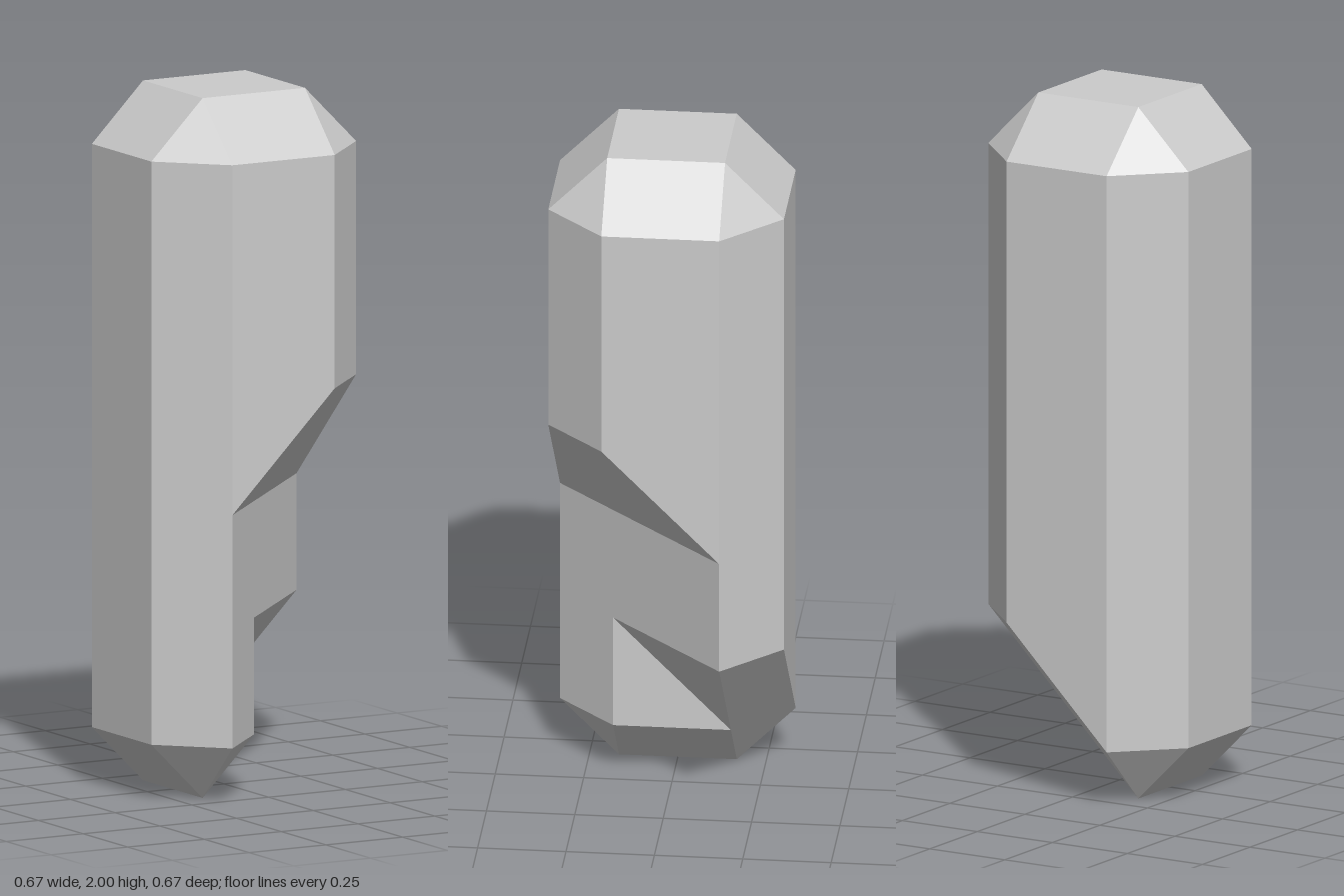
import * as THREE from 'three';

const UNIT = 1 / 6; // every corner lies on a grid of this size

// Builds one faceted mesh from convex polygons (counter-clockwise from outside)
function facetedMesh(name, faces) {
  const pos = [];
  for (const face of faces) {
    // merge corners that coincide, so tapered quads become triangles
    const p = face.filter((v, i) => String(v) !== String(face[(i + 1) % face.length]));
    for (let i = 1; i < p.length - 1; i++) pos.push(...p[0], ...p[i], ...p[i + 1]);
  }
  const geo = new THREE.BufferGeometry();
  geo.setAttribute('position', new THREE.Float32BufferAttribute(pos, 3));
  geo.scale(UNIT, UNIT, UNIT);
  geo.computeVertexNormals();
  const mesh = new THREE.Mesh(geo, new THREE.MeshStandardMaterial({ color: 0xcccccc, flatShading: true }));
  mesh.name = name;
  return mesh;
}

export function createModel() {
  const group = new THREE.Group();
  group.name = 'facetedPillar';

  // Octagonal outline [x, z], starting at the left end of the front face
  const ring = [[-1, 2], [1, 2], [2, 1], [2, -1], [1, -2], [-1, -2], [-2, -1], [-2, 1]];
  // Bottom heights at the two ends of each side face
  const low = [[5, 7], [7, 7], [7, 5], [3, 3], [3, 1], [1, 1], [1, 1], [1, 1]];

  const shaft = [], cap = [];
  const crown = ([x, z]) => [Math.sign(x), 12, Math.sign(z)];
  ring.forEach((a, i) => {
    const b = ring[(i + 1) % 8];
    const at = (p, y) => [p[0], y, p[1]];
    shaft.push([at(a, low[i][0]), at(b, low[i][1]), at(b, 11), at(a, 11)]);
    cap.push([at(a, 11), at(b, 11), crown(b), crown(a)]);
  });
  cap.push([[-1, 12, 1], [1, 12, 1], [1, 12, -1], [-1, 12, -1]]);

  // Cut-away corner: sloping overhang, diagonal wall and lower notch
  const cutaway = [
    [[-1, 5, 2], [2, 5, -1], [2, 7, 1], [1, 7, 2]],
    [[0, 3, 1], [2, 3, -1], [2, 5, -1], [-1, 5, 2], [-1, 1, 2], [0, 1, 1]],
    [[0, 3, 1], [0, 1, -1], [2, 3, -1]],
    [[0, 1, 1], [0, 1, -1], [0, 3, 1]],
    [[0, 1, -1], [-1, 1, -2], [1, 3, -2], [2, 3, -1]],
  ];

  // Foot: six-sided outline tapering to a short bottom ridge
  const footRing = [[-1, 1, 2], [0, 1, 1], [0, 1, -1], [-1, 1, -2], [-2, 1, -1], [-2, 1, 1]];
  const ridge = (p) => [-1, 0, Math.sign(p[2])];
  const foot = footRing.map((a, i) => {
    const b = footRing[(i + 1) % 6];
    return [ridge(a), ridge(b), b, a];
  });

  group.add(
    facetedMesh('shaft', shaft),
    facetedMesh('cap', cap),
    facetedMesh('cutaway', cutaway),
    facetedMesh('foot', foot),
  );
  return group;
}
